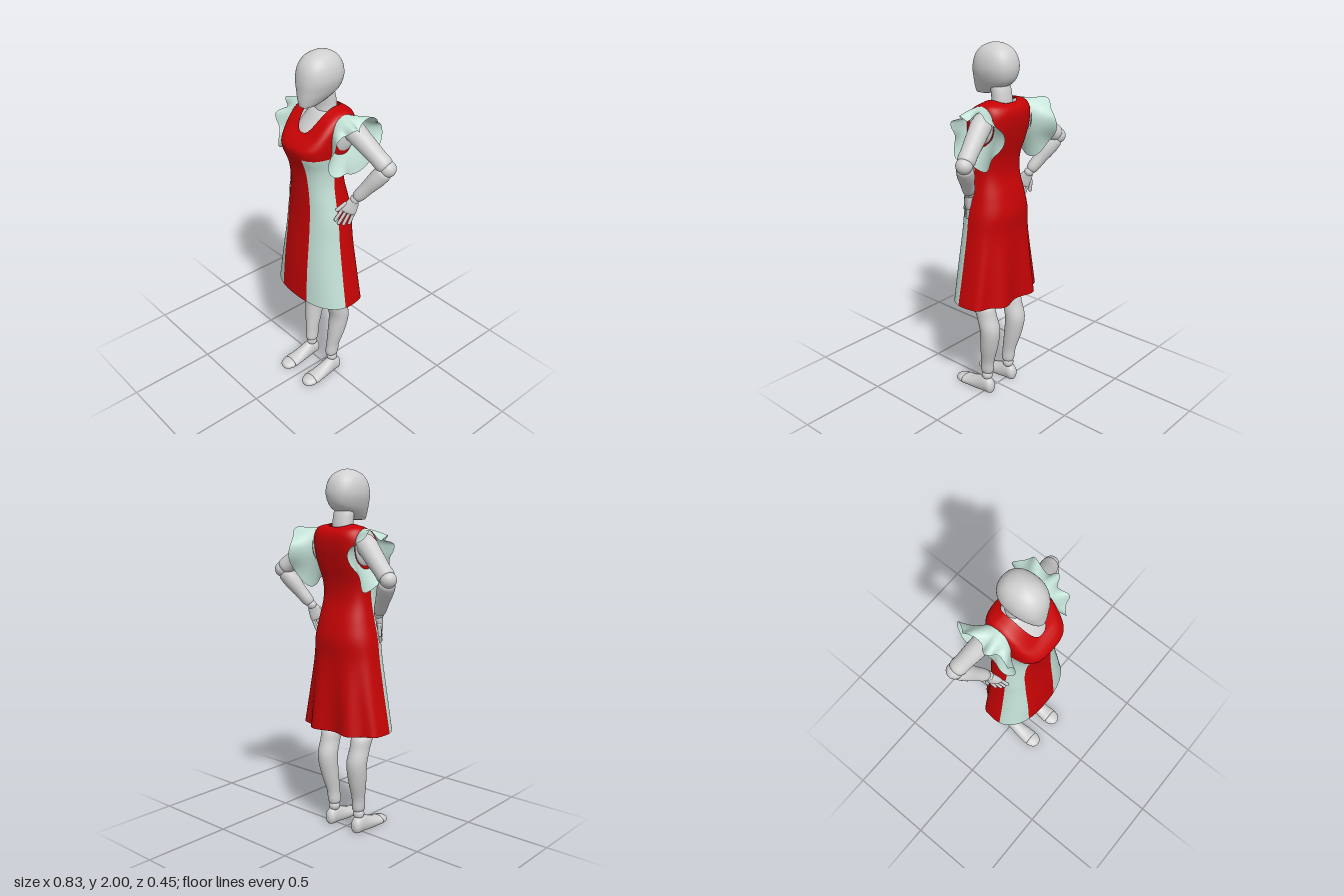
import * as THREE from 'three';

const grey = new THREE.MeshStandardMaterial({ color: 0xd0d0d0 });
grey.name = 'mannequin grey';
const red = new THREE.MeshStandardMaterial({ color: 0xc60305, side: THREE.DoubleSide });
red.name = 'dress red';
const mint = new THREE.MeshStandardMaterial({ color: 0xc3e1d6, side: THREE.DoubleSide });
mint.name = 'dress mint';

const power = (v, p) => Math.sign(v) * Math.abs(v) ** p;

// Closed tube of columns; each column is a smooth curve through its ring points.
// isSecond(column, row) sends a quad to the second material group.
function skin(columns, sub, isSecond) {
  const n = columns.length, rows = (columns[0].length - 1) * sub;
  const pos = [], groups = [[], []];
  for (const pts of columns) {
    const curve = new THREE.CatmullRomCurve3(pts);
    for (let j = 0; j <= rows; j++) pos.push(...curve.getPoint(j / rows).toArray());
  }
  for (let i = 0; i < n; i++) {
    for (let j = 0; j < rows; j++) {
      const a = i * (rows + 1) + j, b = ((i + 1) % n) * (rows + 1) + j;
      groups[isSecond && isSecond(i, j) ? 1 : 0].push(a, b, b + 1, a, b + 1, a + 1);
    }
  }
  const geo = new THREE.BufferGeometry();
  geo.setAttribute('position', new THREE.Float32BufferAttribute(pos, 3));
  geo.setIndex([...groups[0], ...groups[1]]);
  geo.addGroup(0, groups[0].length, 0);
  if (groups[1].length) geo.addGroup(groups[0].length, groups[1].length, 1);
  geo.computeVertexNormals();
  return geo;
}

// Solid from sections [x, z, y, radiusX, radiusZ], listed upwards; p below 1 squares them
function loft(sections, sides = 32, p = 1) {
  const first = sections[0], last = sections[sections.length - 1];
  const all = [[...first.slice(0, 3), 1e-4, 1e-4], ...sections, [...last.slice(0, 3), 1e-4, 1e-4]];
  const columns = [];
  for (let i = 0; i < sides; i++) {
    const a = (i / sides) * Math.PI * 2;
    columns.push(all.map(([x, z, y, rx, rz]) =>
      new THREE.Vector3(x + rx * power(Math.sin(a), p), y, z + rz * power(Math.cos(a), p))));
  }
  return skin(columns, 5);
}

function add(parent, name, geo, mat = grey) {
  const mesh = new THREE.Mesh(geo, mat);
  mesh.name = name;
  parent.add(mesh);
  return mesh;
}

function ball(parent, name, r, p) {
  const mesh = add(parent, name, new THREE.SphereGeometry(r, 28, 18));
  mesh.position.set(...p);
  return mesh;
}

// Round limb from a to b with profile points [fraction, radius]
function limb(parent, name, a, b, profile) {
  const from = new THREE.Vector3(...a), dir = new THREE.Vector3(...b).sub(from);
  const geo = loft(profile.map(([t, r]) => [0, 0, t * dir.length(), r, r]), 28);
  const mesh = add(parent, name, geo);
  mesh.quaternion.setFromUnitVectors(new THREE.Vector3(0, 1, 0), dir.normalize());
  mesh.position.copy(from);
}

// Dress rings: side y, front y, back y, half width, front z, back z, centre z, squareness
const RINGS = [
  [0.60, 0.60, 0.60, 0.268, 0.183, -0.148, 0.01, 0.85],
  [0.80, 0.80, 0.80, 0.232, 0.173, -0.140, 0.01, 0.85],
  [1.00, 1.00, 1.00, 0.200, 0.155, -0.128, 0.01, 0.85],
  [1.11, 1.11, 1.11, 0.188, 0.147, -0.132, 0.01, 0.85],
  [1.20, 1.20, 1.20, 0.168, 0.145, -0.115, 0.01, 0.83],
  [1.32, 1.32, 1.32, 0.144, 0.150, -0.086, 0.01, 0.80],
  [1.41, 1.41, 1.41, 0.142, 0.163, -0.090, 0.01, 0.75],
  [1.49, 1.49, 1.49, 0.154, 0.190, -0.110, 0.00, 0.66],
  [1.54, 1.53, 1.54, 0.160, 0.195, -0.122, -0.01, 0.64],
  [1.60, 1.56, 1.60, 0.163, 0.175, -0.134, -0.02, 0.64],
  [1.66, 1.58, 1.66, 0.160, 0.152, -0.136, -0.03, 0.68],
  [1.70, 1.59, 1.69, 0.142, 0.138, -0.122, -0.035, 0.72],
  [1.72, 1.60, 1.705, 0.072, 0.125, -0.095, -0.035, 0.75],
];

function makeDress() {
  const counts = [18, 18, 48, 18];
  const columns = Array.from({ length: counts.reduce((s, c) => s + c) }, () => []);
  for (const [y, yf, yb, w, zf, zb, zc, p] of RINGS) {
    // seam angles: right front, left front, left side, right side
    const k = Math.min((y - 0.6) / 0.9, 1), fit = Math.min(w / 0.154, 1);
    const front = (x) => Math.asin((x * fit / w) ** (1 / p));
    const sideZ = y < 1.5 ? 0.05 - 0.02 * k : zc + 0.2 * (zf - zc);
    const side = Math.acos(((sideZ - zc) / (zf - zc)) ** (1 / p));
    const seams = [-front(0.135 - 0.025 * k), front(0.08 - 0.015 * k), side, 2 * Math.PI - side];
    seams.push(seams[0] + 2 * Math.PI);
    let col = 0;
    counts.forEach((count, s) => {
      for (let i = 0; i < count; i++) {
        const a = seams[s] + (seams[s + 1] - seams[s]) * i / count;
        const c = Math.cos(a);
        // soft folds towards the back hem
        const fold = Math.max(0, (1.05 - y) / 0.45) * 0.12 * Math.max(0, -c) * Math.cos(8 * (a - Math.PI + 0.35));
        columns[col++].push(new THREE.Vector3(
          w * power(Math.sin(a), p) * (1 + 0.5 * fold),
          y + ((c > 0 ? yf : yb) - y) * Math.abs(c) ** 1.5,
          zc + (c > 0 ? zf - zc : zc - zb) * power(c, p) * (1 + fold)));
      }
    });
  }
  const sub = 6, bustRow = 7 * sub;
  return skin(columns, sub, (i, j) => j < bustRow && ((i >= 18 && i < 36) || i >= 84));
}

// Wavy flounce around an armhole
function makeRuffle(s) {
  const columns = [];
  for (let i = 0; i < 96; i++) {
    const a = (i / 96) * Math.PI * 2, up = Math.sin(a), fwd = Math.cos(a);
    const top = Math.max(0, up), low = Math.max(0, -up);
    const reach = 0.072 + 0.035 * top - 0.015 * low;
    const flare = 0.035 + 0.07 * Math.max(0, -fwd) + 0.07 * low - 0.045 * top;
    columns.push([0, 0.33, 0.66, 1].map((t) => {
      const r = flare * t + 0.016 * t * t * Math.sin(6 * a + 0.8);
      const out = reach * t + 0.016 * t * t * Math.cos(5 * a);
      return new THREE.Vector3(s * (0.148 + out),
        1.6 + (0.1 + r) * up - 0.035 * t * t * top,
        -0.025 + (0.085 + r) * fwd + 0.03 * t * low);
    }));
  }
  return skin(columns, 4);
}

function makeArm(s) {
  const g = new THREE.Group();
  g.name = s > 0 ? 'leftArm' : 'rightArm';
  const shoulder = [s * 0.175, 1.625, -0.055], elbow = [s * 0.372, 1.46, -0.115], wrist = [s * 0.24, 1.262, -0.022];
  // bare skin inside the armhole
  ball(g, 'armholeSkin', 1, [s * 0.15, 1.6, -0.025]).scale.set(0.022, 0.095, 0.08);
  ball(g, 'shoulderJoint', 0.052, shoulder);
  limb(g, 'upperArm', shoulder, elbow, [[0, 0.05], [0.3, 0.052], [0.7, 0.046], [0.95, 0.041]]);
  ball(g, 'elbowJoint', 0.043, elbow);
  limb(g, 'forearm', elbow, wrist, [[0.08, 0.038], [0.25, 0.045], [0.6, 0.037], [0.95, 0.025]]);
  ball(g, 'wristJoint', 0.026, wrist);
  // hand resting on the hip
  const hand = new THREE.Group();
  hand.name = 'hand';
  const axis = new THREE.Vector3(-s * 0.04, -0.16, 0.07).normalize();
  const flat = new THREE.Vector3(0.8, 0, s * 0.6);
  flat.addScaledVector(axis, -axis.dot(flat)).normalize();
  hand.quaternion.setFromRotationMatrix(
    new THREE.Matrix4().makeBasis(flat, axis, new THREE.Vector3().crossVectors(flat, axis)));
  hand.position.set(...wrist);
  add(hand, 'palm', loft([[0, 0, 0.005, 0.018, 0.022], [0, 0, 0.04, 0.019, 0.036], [0, 0, 0.085, 0.014, 0.038]], 24));
  // the thumb points forward on both hands
  for (let i = 0; i < 4; i++) {
    const z = s * (-0.032 + i * 0.0213), len = [0.064, 0.076, 0.07, 0.054][i];
    const finger = add(hand, 'finger', new THREE.CapsuleGeometry(0.0088, len, 4, 10));
    finger.position.set(0, 0.085 + len / 2, z * 1.1);
    finger.rotation.x = z * 3;
  }
  const thumb = add(hand, 'thumb', new THREE.CapsuleGeometry(0.01, 0.055, 4, 10));
  thumb.position.set(0, 0.068, -s * 0.045);
  thumb.rotation.x = -s * 0.4;
  g.add(hand);
  return g;
}

function makeLeg(s) {
  const g = new THREE.Group();
  g.name = s > 0 ? 'leftLeg' : 'rightLeg';
  const m = (rows) => rows.map(([x, ...rest]) => [s * x, ...rest]);
  add(g, 'thigh', loft(m([[0.108, 0.005, 0.61, 0.054, 0.058], [0.105, 0.01, 0.8, 0.07, 0.078], [0.095, 0.01, 1.0, 0.085, 0.095]])));
  ball(g, 'kneeJoint', 0.054, [s * 0.109, 0.587, 0.004]);
  add(g, 'shin', loft(m([
    [0.09, -0.003, 0.125, 0.029, 0.034], [0.094, -0.01, 0.2, 0.035, 0.04], [0.103, -0.03, 0.31, 0.049, 0.052],
    [0.108, -0.041, 0.42, 0.057, 0.058], [0.11, -0.018, 0.5, 0.054, 0.06], [0.11, 0.006, 0.57, 0.05, 0.06]])));
  ball(g, 'ankleJoint', 0.032, [s * 0.092, 0.105, -0.004]);
  // foot sections run heel to toe, with a flattened sole
  const along = (rows) => {
    const geo = loft(rows.map(([z, y, rx, ry]) => [s * 0.097, -y, z, rx, ry])).rotateX(Math.PI / 2);
    const p = geo.attributes.position;
    for (let i = 0; i < p.count; i++) p.setY(i, Math.max(p.getY(i), 0));
    geo.computeVertexNormals();
    return geo;
  };
  add(g, 'foot', along([[-0.054, 0.036, 0.012, 0.015], [-0.04, 0.038, 0.03, 0.042], [0, 0.045, 0.034, 0.055],
    [0.06, 0.032, 0.04, 0.045], [0.12, 0.022, 0.046, 0.032], [0.158, 0.018, 0.046, 0.027]]));
  add(g, 'toes', along([[0.16, 0.018, 0.046, 0.025], [0.19, 0.016, 0.042, 0.023], [0.21, 0.014, 0.03, 0.017], [0.218, 0.013, 0.012, 0.008]]));
  return g;
}

export function createModel() {
  const model = new THREE.Group();
  model.name = 'dressedMannequin';
  add(model, 'head', loft([
    [0, 0.088, 1.736, 0.032, 0.043], [0, 0.07, 1.748, 0.045, 0.064], [0, 0.048, 1.77, 0.06, 0.088],
    [0, 0.019, 1.81, 0.082, 0.117], [0, 0.008, 1.87, 0.099, 0.127], [0, 0.006, 1.93, 0.092, 0.115],
    [0, 0.005, 1.97, 0.069, 0.086], [0, 0.004, 1.992, 0.036, 0.046], [0, 0.004, 2.0, 0.008, 0.01]], 48, 0.88));
  add(model, 'neck', loft([[0, -0.03, 1.6, 0.08, 0.06], [0, -0.03, 1.67, 0.064, 0.053], [0, -0.033, 1.72, 0.06, 0.05], [0, -0.018, 1.8, 0.05, 0.04]]));
  add(model, 'torso', loft([
    [0, 0.01, 0.95, 0.15, 0.1], [0, 0.01, 1.1, 0.165, 0.115], [0, 0.025, 1.32, 0.125, 0.09],
    [0, 0.03, 1.5, 0.135, 0.115], [0, 0.005, 1.58, 0.13, 0.115], [0, -0.02, 1.64, 0.115, 0.09], [0, -0.035, 1.69, 0.075, 0.055]]));
  add(model, 'dress', makeDress(), [red, mint]);
  for (const s of [1, -1]) {
    model.add(makeArm(s), makeLeg(s));
    add(model, s > 0 ? 'leftSleeveRuffle' : 'rightSleeveRuffle', makeRuffle(s), mint);
  }
  return model;
}
